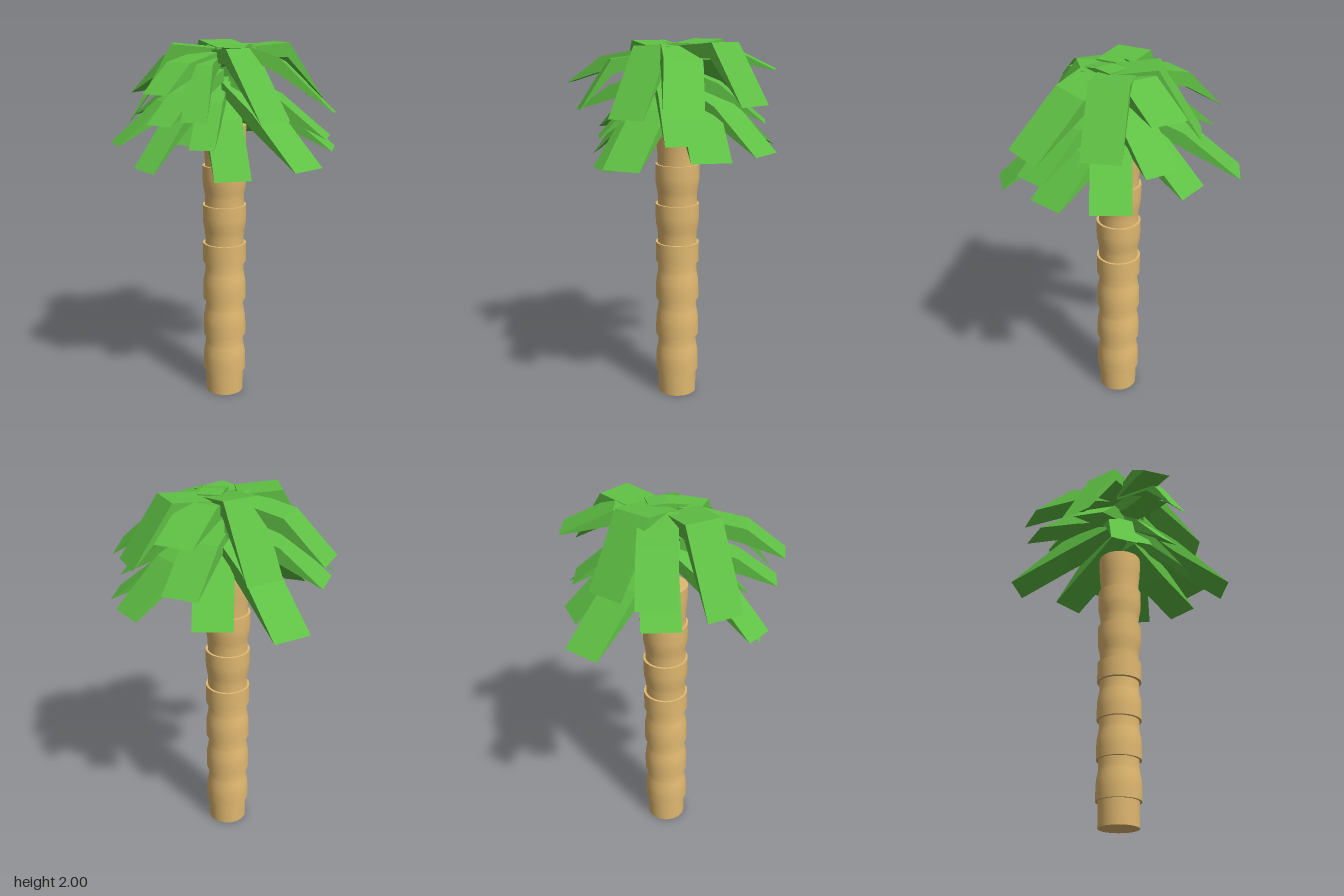
import * as THREE from 'three';
import { toCreasedNormals } from 'three/addons/utils/BufferGeometryUtils.js';

const bark = new THREE.MeshStandardMaterial({ color: 0xe0b870 });
const green = new THREE.MeshStandardMaterial({ color: 0x5fc044, flatShading: true });

// Ringed trunk: lower rings have their step below, upper rings above
function makeTrunk() {
  const pts = [[0, 0], [0.108, 0], [0.108, 0.135]];
  for (const y of [0.135, 0.352, 0.57]) {
    pts.push([0.121, y], [0.121, y + 0.06], [0.119, y + 0.11], [0.111, y + 0.15], [0.108, y + 0.175], [0.108, y + 0.217]);
  }
  pts.push([0.121, 0.79], [0.121, 0.9]);
  for (const y of [0.9, 1.12]) {
    pts.push([0.108, y], [0.108, y + 0.04], [0.111, y + 0.07], [0.119, y + 0.11], [0.121, y + 0.15], [0.121, y + 0.22]);
  }
  pts.push([0.108, 1.34], [0.108, 1.38], [0.114, 1.44], [0.118, 1.5], [0.118, 1.56], [0, 1.56]);
  const lathe = new THREE.LatheGeometry(pts.map(([r, y]) => new THREE.Vector2(r, y)), 28);
  const trunk = new THREE.Mesh(toCreasedNormals(lathe, 0.6), bark);
  trunk.position.set(-0.027, 0, -0.031);
  trunk.name = 'trunk';
  return trunk;
}

// Bent frond: a wedge section (root, bend, sharp tip) extruded across its width
function makeFrond([x, z, yaw, width, tipY, bendBack, bendY, rootBack, rootY, roll = 0]) {
  const bend = bendY - tipY, root = rootY - tipY;
  const section = new THREE.Shape([
    [-rootBack, root], [-bendBack, bend], [0, 0], [-bendBack - 0.01, bend - 0.075], [-rootBack, root - 0.06],
  ].map(([a, b]) => new THREE.Vector2(a, b)));
  const geo = new THREE.ExtrudeGeometry(section, { depth: width, bevelEnabled: false });
  geo.translate(0, 0, -width / 2);
  const frond = new THREE.Mesh(geo, green);
  frond.rotation.set(THREE.MathUtils.degToRad(roll), -THREE.MathUtils.degToRad(yaw), 0, 'YXZ');
  frond.position.set(x, tipY, z);
  frond.name = 'frond';
  return frond;
}

// Tip x, tip z, heading, width, tip y, bend distance, bend y, root distance, root y, roll
const upperFronds = [
  [0.56, -0.145, -16, 0.2, 1.65, 0.28, 1.91, 0.45, 1.97, -8],
  [0.38, 0.17, 19, 0.2, 1.62, 0.26, 1.97, 0.4, 1.96],
  [0.31, -0.46, -51, 0.195, 1.69, 0.21, 1.99, 0.45, 1.97],
  [0, -0.545, -91, 0.195, 1.85, 0.27, 1.98, 0.46, 1.95],
  [-0.35, -0.3, -146, 0.2, 1.65, 0.22, 2.0, 0.44, 1.97],
  [-0.58, -0.04, 178, 0.195, 1.71, 0.215, 1.92, 0.48, 1.98],
  [-0.425, 0.275, 150, 0.195, 1.59, 0.23, 1.99, 0.45, 1.97],
  [-0.07, 0.56, 95, 0.145, 1.77, 0.19, 1.91, 0.46, 1.96],
  [0.1, 0.48, 69, 0.125, 1.64, 0.17, 1.9, 0.42, 1.94],
  [0.08, 0.07, 75, 0.12, 1.97, 0.1, 1.985, 0.2, 1.98],
];
const lowerFronds = [
  [0.56, 0.16, 17, 0.2, 1.4, 0.3, 1.66, 0.52, 1.8],
  [0.51, -0.27, -18, 0.2, 1.44, 0.25, 1.64, 0.5, 1.76],
  [0.53, -0.14, -16, 0.18, 1.52, 0.26, 1.73, 0.5, 1.84],
  [0.29, -0.52, -61, 0.2, 1.45, 0.25, 1.68, 0.5, 1.8],
  [0, -0.5, -92, 0.19, 1.58, 0.24, 1.78, 0.44, 1.86],
  [-0.175, -0.505, -115, 0.2, 1.45, 0.25, 1.68, 0.48, 1.8],
  [-0.535, -0.4, -145, 0.2, 1.44, 0.3, 1.68, 0.58, 1.8],
  [-0.56, -0.02, 174, 0.19, 1.59, 0.22, 1.77, 0.5, 1.86],
  [-0.41, 0.435, 128, 0.155, 1.49, 0.25, 1.7, 0.52, 1.82],
  [-0.215, 0.46, 100, 0.14, 1.37, 0.24, 1.67, 0.44, 1.8, -7],
  [-0.07, 0.53, 92, 0.145, 1.62, 0.2, 1.76, 0.48, 1.86],
  [-0.06, 0.3, 95, 0.16, 1.49, 0.14, 1.66, 0.28, 1.78],
  [0.08, 0.38, 72, 0.13, 1.49, 0.19, 1.7, 0.36, 1.82],
  [0.23, 0.33, 47, 0.19, 1.34, 0.2, 1.62, 0.38, 1.77],
];

export function createModel() {
  const model = new THREE.Group();
  model.name = 'palmTree';
  model.add(makeTrunk());
  for (const [name, list] of [['upperFronds', upperFronds], ['lowerFronds', lowerFronds]]) {
    const crown = new THREE.Group();
    crown.name = name;
    for (const f of list) crown.add(makeFrond(f));
    model.add(crown);
  }
  return model;
}
